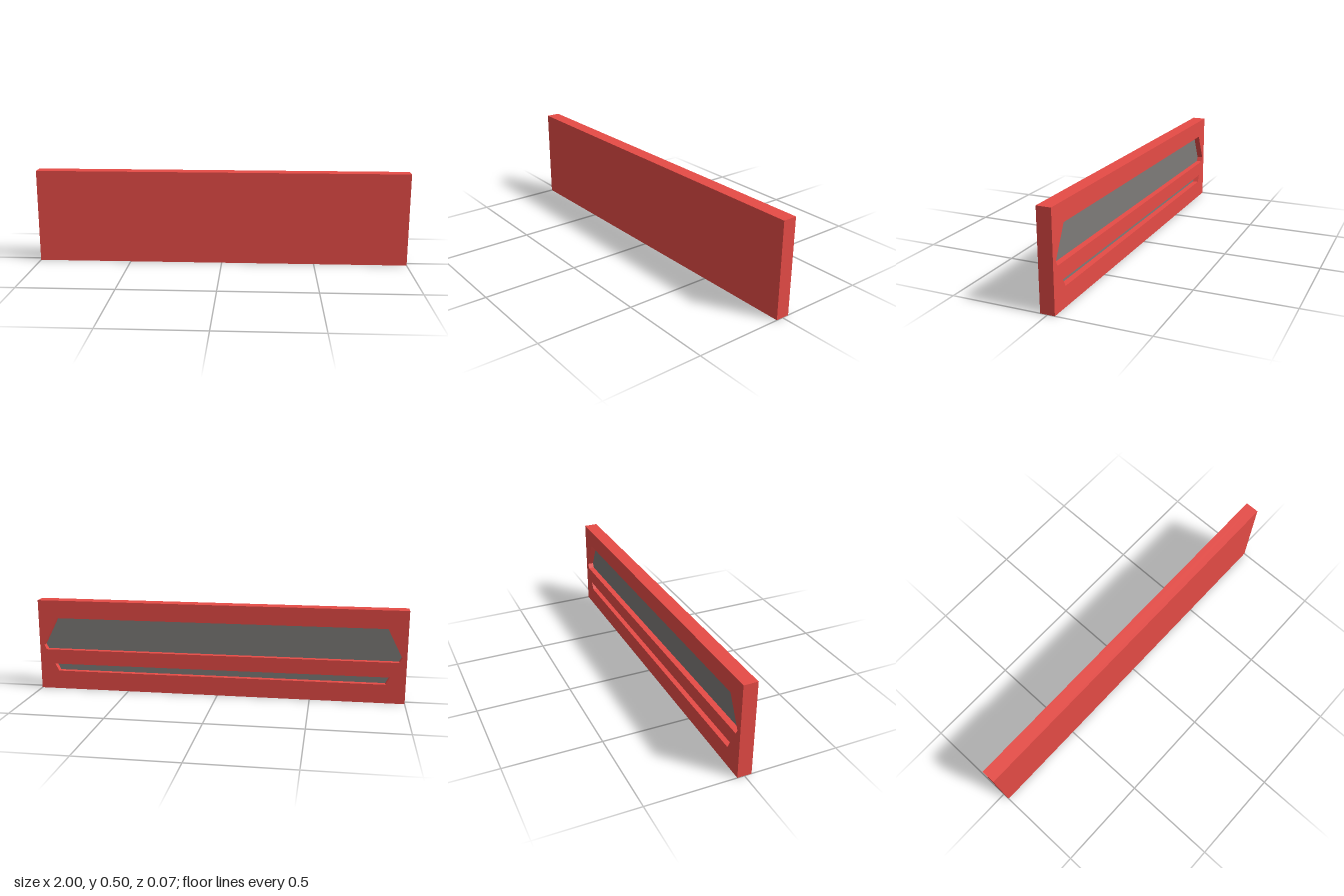
import * as THREE from 'three';

const HALF_DEPTH = 0.037;
const FLOOR_Z = -0.004; // depth at which the rear recess ends

// Counter-clockwise outline symmetric about x = 0, from its right-hand points listed bottom to top
function mirrored(points, Type = THREE.Shape) {
  const right = points.map(([x, y]) => new THREE.Vector2(x, y));
  const left = points.map(([x, y]) => new THREE.Vector2(-x, y)).reverse();
  return new Type([...right, ...left]);
}

export function createModel() {
  const red = new THREE.MeshStandardMaterial({ color: 0xe64b46 });
  red.name = 'red';
  const grey = new THREE.MeshStandardMaterial({ color: 0x7d7b78 });
  grey.name = 'grey';

  const group = new THREE.Group();
  group.name = 'panel';
  const add = (name, geometry, material) => {
    const mesh = new THREE.Mesh(geometry, material);
    mesh.name = name;
    group.add(mesh);
    return mesh;
  };

  // Solid front slab
  const frontDepth = HALF_DEPTH - FLOOR_Z;
  add('frontSlab', new THREE.BoxGeometry(2, 0.5, frontDepth), red)
    .position.set(0, 0.25, FLOOR_Z + frontDepth / 2);

  // Rear frame: two openings leave a flush crossbar between them
  const frame = mirrored([[1, 0], [1, 0.5]]);
  frame.holes.push(
    mirrored([[0.962, 0.223], [0.975, 0.248], [0.896, 0.402]], THREE.Path),
    mirrored([[0.896, 0.102], [0.917, 0.142]], THREE.Path),
  );
  add('rearFrame', new THREE.ExtrudeGeometry(frame, {
    depth: FLOOR_Z + HALF_DEPTH, bevelEnabled: false,
  }), red).position.z = -HALF_DEPTH;

  // Grey recess floor, facing the back
  const floor = mirrored([[0.896, 0.102], [0.975, 0.248], [0.896, 0.402]]);
  const plate = add('recessFloor', new THREE.ShapeGeometry(floor), grey);
  plate.rotation.y = Math.PI;
  plate.position.z = FLOOR_Z - 0.001;

  return group;
}
